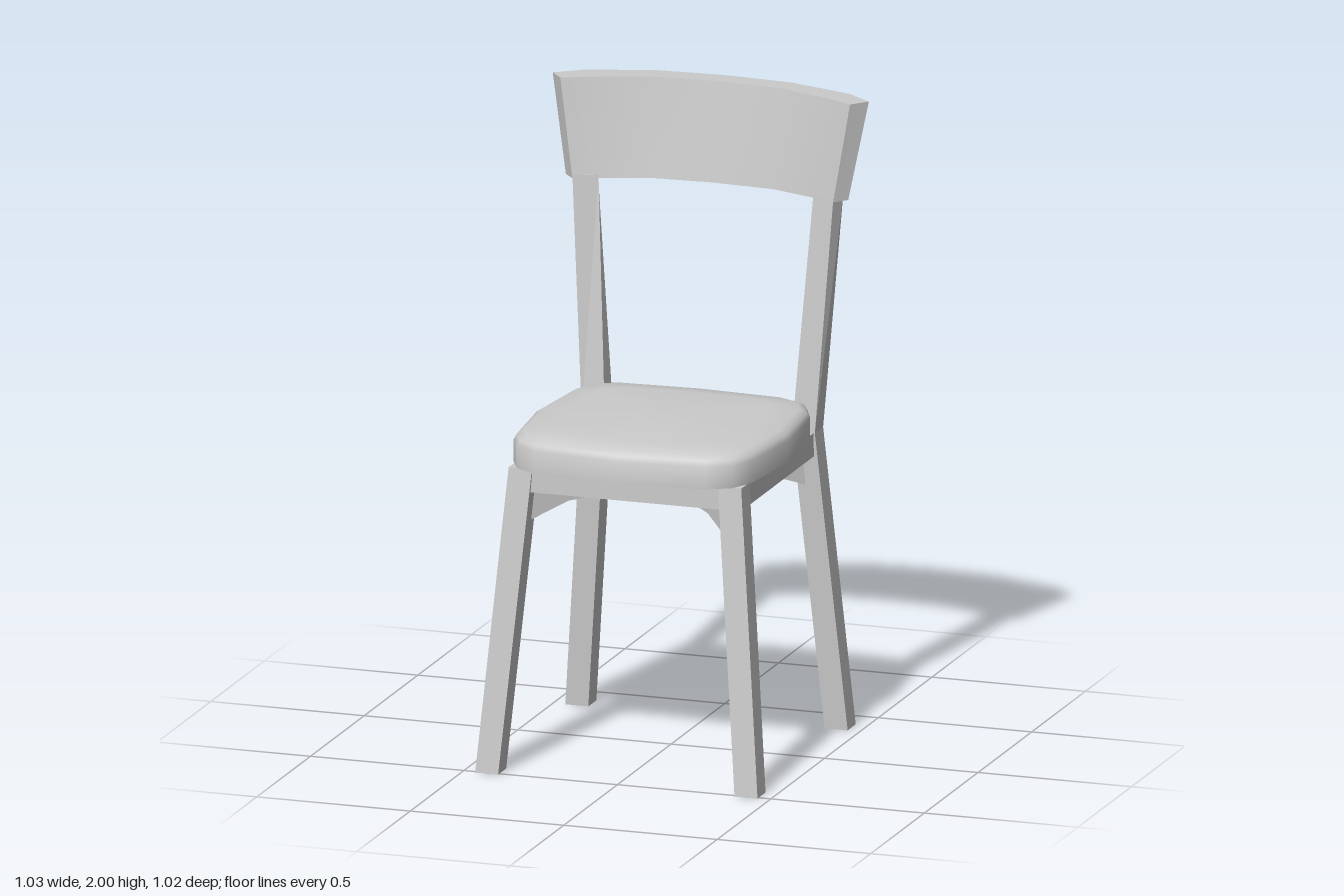
import * as THREE from 'three';
import { toCreasedNormals } from 'three/addons/utils/BufferGeometryUtils.js';

const material = new THREE.MeshStandardMaterial({ color: 0xcccccc });

// A ring is a list of [x, y, z], counter-clockwise seen from above
const ring = (y, points) => points.map(([x, z]) => [x, y, z]);
const rect = (y, x0, x1, z0, z1) => ring(y, [[x0, z1], [x1, z1], [x1, z0], [x0, z0]]);
const mirrorRing = (r) => r.map(([x, y, z]) => [-x, y, z]).reverse();

// Skin stacked rings from bottom to top and cap both ends
function loft(rings, crease = 0.5) {
  const n = rings[0].length;
  const index = [];
  for (let k = 0; k < rings.length - 1; k++) {
    for (let i = 0; i < n; i++) {
      const j = (i + 1) % n;
      const a = k * n + i, b = k * n + j;
      index.push(a, b, b + n, a, b + n, a + n);
    }
  }
  const outline = rings[0].map(([x, , z]) => new THREE.Vector2(x, -z));
  const top = (rings.length - 1) * n;
  for (const [a, b, c] of THREE.ShapeUtils.triangulateShape(outline, [])) {
    index.push(a, c, b, top + a, top + b, top + c);
  }
  const geometry = new THREE.BufferGeometry();
  geometry.setAttribute('position', new THREE.Float32BufferAttribute(rings.flat(2), 3));
  geometry.setIndex(index);
  return toCreasedNormals(geometry, crease);
}

export function createModel() {
  const chair = new THREE.Group();
  chair.name = 'chair';
  const add = (name, geometry) => {
    const mesh = new THREE.Mesh(geometry, material);
    mesh.name = name;
    chair.add(mesh);
    return mesh;
  };

  // Seat frame
  add('seatFrame', loft([rect(0.885, -0.375, 0.375, -0.325, 0.425), rect(0.96, -0.375, 0.375, -0.325, 0.425)]));

  // Splayed front legs, and back legs that bend into the back posts
  const frontLeg = [rect(0, 0.385, 0.46, 0.435, 0.51), rect(0.96, 0.303, 0.379, 0.353, 0.43)];
  const backLeg = [
    rect(0, 0.385, 0.46, -0.405, -0.33),
    rect(0.96, 0.305, 0.38, -0.33, -0.253),
    ring(1.7, [[0.35, -0.325], [0.425, -0.296], [0.44, -0.345], [0.375, -0.388]]),
  ];
  for (const [name, rings] of [['frontLeg', frontLeg], ['backLegAndPost', backLeg]]) {
    add(name + 'Left', loft(rings, 0.05));
    add(name + 'Right', loft(rings.map(mirrorRing), 0.05));
  }

  // Curved backrest, wider and further back at the top
  const arc = (y, front, back) => {
    const full = (half) => [...half.slice(1).reverse().map(([x, z]) => [-x, z]), ...half];
    return ring(y, [...full(front), ...full(back).reverse()]);
  };
  add('backrest', loft([
    arc(1.69, [[0, -0.39], [0.2, -0.378], [0.35, -0.325], [0.425, -0.295]],
      [[0, -0.463], [0.2, -0.448], [0.385, -0.39], [0.46, -0.335]]),
    arc(2, [[0, -0.44], [0.205, -0.426], [0.385, -0.362], [0.472, -0.318]],
      [[0, -0.515], [0.22, -0.5], [0.43, -0.435], [0.515, -0.37]]),
  ]));

  // Domed cushion: the outline shrinks towards the crown
  const right = [[0, 0.505], [0.28, 0.474], [0.35, 0.435], [0.387, 0.36], [0.415, 0.09],
    [0.39, -0.18], [0.352, -0.262], [0.28, -0.296], [0, -0.313]];
  const outline = [...right, ...right.slice(1, -1).reverse().map(([x, z]) => [-x, z])];
  const steps = [[1, 0.96], [1, 1.03], [0.98, 1.047], [0.93, 1.06], [0.75, 1.068], [0.4, 1.076], [0.05, 1.08]];
  add('cushion', loft(steps.map(([s, y]) =>
    ring(y, outline.map(([x, z]) => [x * s, 0.095 + (z - 0.095) * s]))), 1));

  // Two crossed diagonal braces with an arched lower edge
  const arch = [[-0.33, 0.79], [-0.305, 0.803], [-0.24, 0.835], [0, 0.855], [0.24, 0.835], [0.305, 0.803], [0.33, 0.79]];
  const profile = [...arch, [0.33, 0.9], [-0.33, 0.9]];
  const shape = new THREE.Shape(profile.map(([x, y]) => new THREE.Vector2(x * Math.SQRT2, y)));
  for (const side of [-1, 1]) {
    const brace = new THREE.ExtrudeGeometry(shape, { depth: 0.04, bevelEnabled: false });
    brace.translate(0, 0, -0.02);
    const mesh = add(side > 0 ? 'braceLeft' : 'braceRight', brace);
    mesh.rotation.y = side * Math.PI / 4;
    mesh.position.z = 0.05;
  }
  return chair;
}
